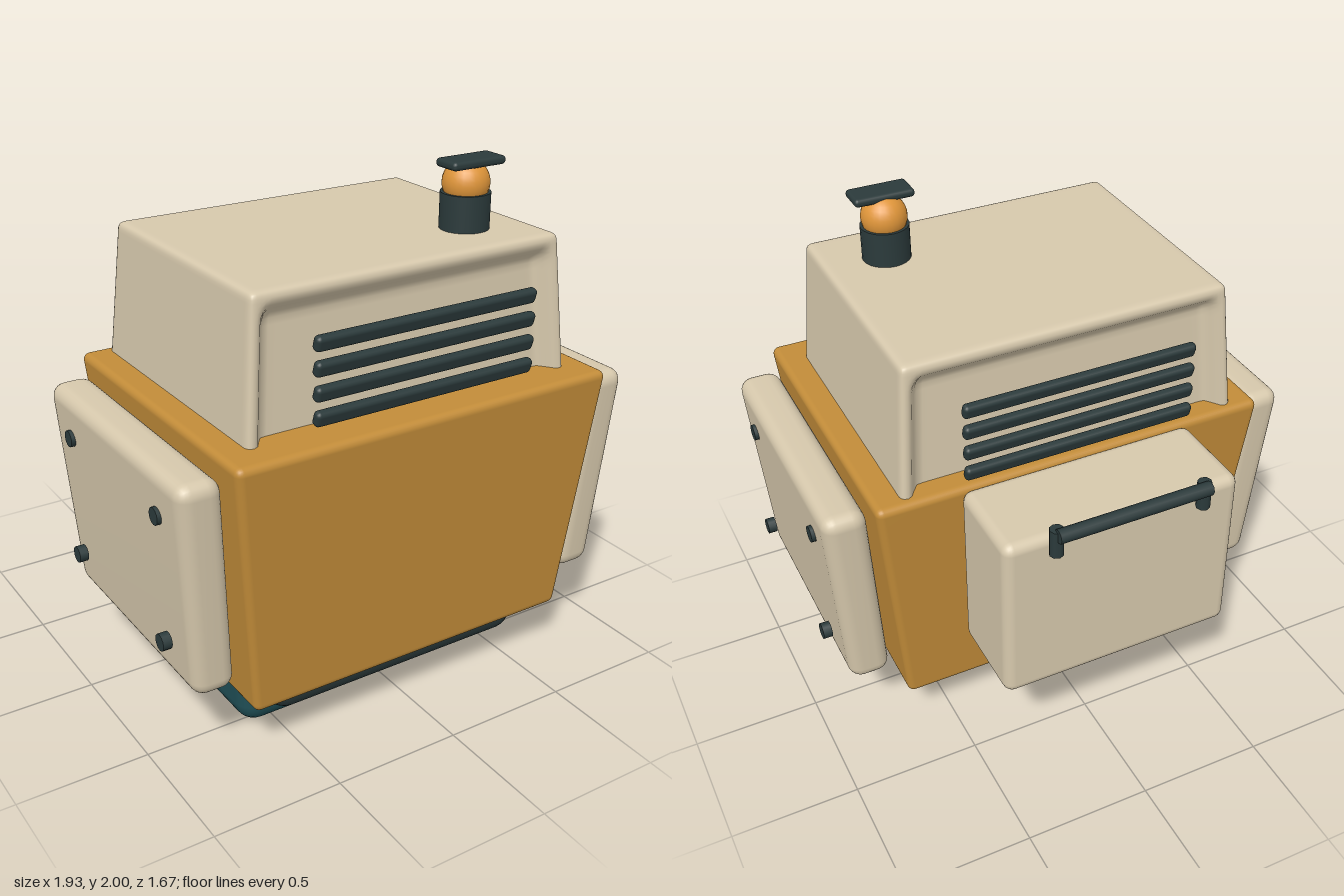
import * as THREE from 'three';
import { mergeVertices } from 'three/addons/utils/BufferGeometryUtils.js';
import { RoundedBoxGeometry } from 'three/addons/geometries/RoundedBoxGeometry.js';

const material = (name, color) => {
  const m = new THREE.MeshStandardMaterial({ color });
  m.name = name;
  return m;
};

// Moves every vertex by a rule, then welds and smooths the surface
function reshape(geometry, rule) {
  const p = geometry.attributes.position;
  const v = new THREE.Vector3();
  for (let i = 0; i < p.count; i++) {
    rule(v.fromBufferAttribute(p, i));
    p.setXYZ(i, v.x, v.y, v.z);
  }
  geometry.deleteAttribute('normal');
  geometry.deleteAttribute('uv');
  const welded = mergeVertices(geometry, 1e-5);
  welded.clearGroups();
  welded.computeVertexNormals();
  return welded;
}

// Rounded block whose half sizes and x centre change from bottom to top
function taperedBlock(y0, y1, bottom, top, radius, segments = 3) {
  const h = y1 - y0;
  const lerp = THREE.MathUtils.lerp;
  const box = new RoundedBoxGeometry(top.x * 2, h, top.z * 2, segments, radius);
  return reshape(box, (v) => {
    const t = v.y / h + 0.5;
    v.x = v.x * lerp(bottom.x / top.x, 1, t) + lerp(bottom.cx || 0, top.cx || 0, t);
    v.z *= lerp(bottom.z / top.z, 1, t);
    v.y += (y0 + y1) / 2;
  });
}

// Tapered upper housing with rounded edges and a recess front and back
function housingGeometry() {
  const half = new THREE.Vector3(0.64, 0.3075, 0.4975);
  const r = 0.025;
  const inner = half.clone().subScalar(r);
  const core = new THREE.Vector3();
  const spread = (u) => Math.sin(u * Math.PI / 2);
  return reshape(new THREE.BoxGeometry(2, 2, 2, 44, 32, 32), (v) => {
    v.set(spread(v.x), spread(v.y), spread(v.z)).multiply(half);
    core.copy(v).clamp(inner.clone().negate(), inner);
    v.sub(core).setLength(r).add(core);
    if (Math.abs(v.z) > inner.z) {
      const side = THREE.MathUtils.smoothstep(half.x - Math.abs(v.x), 0.028, 0.085);
      const top = THREE.MathUtils.smoothstep(half.y - v.y, 0.03, 0.11);
      v.z -= Math.sign(v.z) * 0.06 * side * top;
    }
    const drop = 0.5 - v.y / (2 * half.y);
    v.x *= 1 + 0.08 * drop;
    v.z *= 1 + 0.088 * drop;
    v.y += 1.4275;
  });
}

export function createModel() {
  const model = new THREE.Group();
  model.name = 'model';
  const cream = material('cream', 0xd6c8ac);
  const ochre = material('ochre', 0xc28c39);
  const dark = material('darkSlate', 0x2b3a3b);
  const teal = material('teal', 0x1f4d54);
  const amber = material('amber', 0xe0963a);

  const add = (name, geometry, mat, x = 0, y = 0, z = 0) => {
    const mesh = new THREE.Mesh(geometry, mat);
    mesh.name = name;
    mesh.position.set(x, y, z);
    model.add(mesh);
    return mesh;
  };

  // Base and main body
  add('base', new RoundedBoxGeometry(1.27, 0.3, 0.7, 3, 0.08), teal, 0, 0.15, 0.225);
  add('baseSkirt', new RoundedBoxGeometry(1.14, 0.25, 0.91, 3, 0.09), dark, 0, 0.21, 0.225);
  add('body', taperedBlock(0.21, 1.22, { x: 0.69, z: 0.533 }, { x: 0.79, z: 0.612 }, 0.03),
    ochre, 0, 0, 0.22);
  add('upperHousing', housingGeometry(), cream, 0, 0, 0.178);

  // Vent slats on both ends
  const slat = new RoundedBoxGeometry(0.92, 0.058, 0.038, 2, 0.016);
  for (const s of [1, -1]) {
    for (let i = 0; i < 4; i++) {
      const mesh = add('ventSlat', slat, dark, 0, 1.56 - i * 0.088, 0.18 + s * 0.585);
      mesh.rotation.x = s * 0.3;
    }
  }

  // Leaning side panels with four bolts each
  const bolt = new THREE.CylinderGeometry(0.032, 0.032, 0.035, 12).rotateZ(Math.PI / 2);
  for (const s of [1, -1]) {
    add(s > 0 ? 'leftPanel' : 'rightPanel', taperedBlock(0.32, 1.165,
      { x: 0.08, z: 0.488, cx: s * 0.82 }, { x: 0.085, z: 0.535, cx: s * 0.879 }, 0.055),
      cream, 0, 0, 0.225);
    for (const y of [0.51, 1.0]) {
      for (const z of [-0.127, 0.578]) add('panelBolt', bolt, dark, s * 0.95, y, z);
    }
  }

  // Rear pack and its handle
  add('rearPack', new RoundedBoxGeometry(0.94, 0.7, 0.375, 3, 0.04), cream, 0, 0.86, -0.5635);
  add('handleBar', new THREE.CylinderGeometry(0.027, 0.027, 0.6, 8).rotateZ(Math.PI / 2),
    dark, 0, 1.258, -0.812);
  const post = new THREE.CylinderGeometry(0.027, 0.027, 0.11, 8);
  for (const s of [1, -1]) add('handlePost', post, dark, s * 0.292, 1.215, -0.785);

  // Beacon on the roof
  add('beaconBase', new THREE.CylinderGeometry(0.093, 0.093, 0.17, 24), dark, 0.395, 1.785, 0.435);
  add('beaconLamp', new THREE.SphereGeometry(0.088, 24, 16), amber, 0.395, 1.903, 0.435);
  add('beaconCap', new RoundedBoxGeometry(0.235, 0.032, 0.115, 2, 0.014), dark, 0.395, 1.984, 0.458);

  return model;
}
